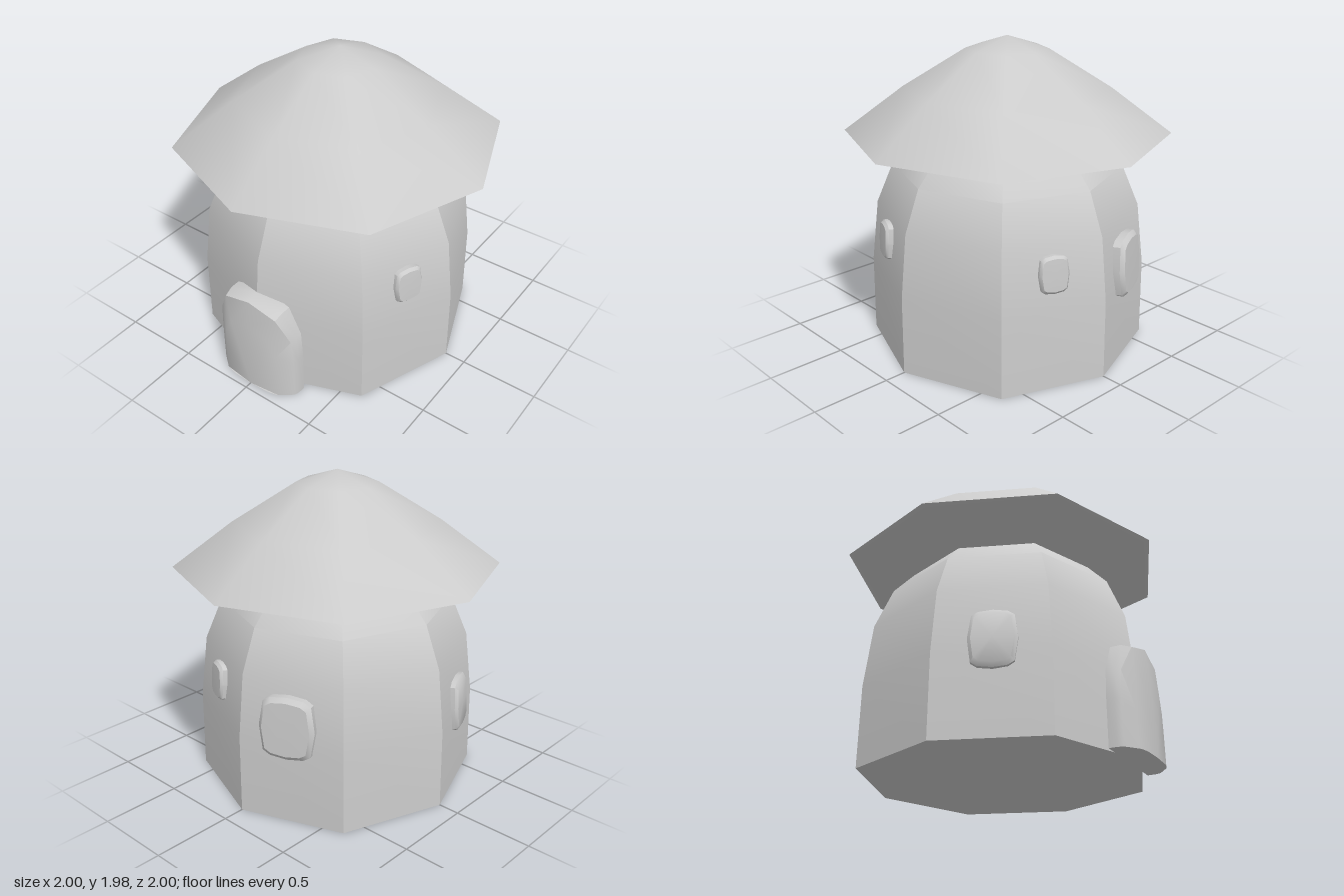
import * as THREE from 'three';
import { toCreasedNormals } from 'three/addons/utils/BufferGeometryUtils.js';

const material = new THREE.MeshStandardMaterial({ color: 0xcccccc });
const CREASE = 0.65;

function part(name, geometry) {
  const mesh = new THREE.Mesh(toCreasedNormals(geometry, CREASE), material);
  mesh.name = name;
  return mesh;
}

// Eight-sided turned shape whose diagonal corners are pushed out a little
function octagonLathe(profile, diagonal) {
  const g = new THREE.LatheGeometry(profile.map(([r, y]) => new THREE.Vector2(r, y)), 8);
  const p = g.attributes.position;
  for (let i = 0; i < p.count; i++) {
    const x = p.getX(i), z = p.getZ(i);
    if (Math.abs(x) > 1e-4 && Math.abs(z) > 1e-4) {
      p.setX(i, x * diagonal);
      p.setZ(i, z * diagonal);
    }
  }
  return g;
}

// Raised panel: a counter-clockwise outline lofted through [scale, depth(x, y)] rings
function panel(outline, rings, peak) {
  const n = outline.length, pos = [], index = [];
  for (const [s, depth] of rings)
    for (const [x, y] of outline) pos.push(x * s, y * s, depth(x * s, y * s));
  pos.push(0, 0, peak, 0, 0, rings[0][1](0, 0));
  const front = rings.length * n, last = front - n;
  for (let i = 0; i < n; i++) {
    const j = (i + 1) % n;
    for (let r = 0; r < last; r += n)
      index.push(r + i, r + j, r + n + j, r + i, r + n + j, r + n + i);
    index.push(last + i, last + j, front, j, i, front + 1);
  }
  const g = new THREE.BufferGeometry();
  g.setAttribute('position', new THREE.Float32BufferAttribute(pos, 3));
  g.setIndex(index);
  return g;
}

// Rounded window panel
function windowPanel(w, h, depth) {
  const outline = [[0.5, 0], [0.43, 0.4], [0.3, 0.47], [0, 0.5], [-0.3, 0.47], [-0.43, 0.4],
    [-0.5, 0], [-0.43, -0.4], [-0.3, -0.47], [0, -0.5], [0.3, -0.47], [0.43, -0.4]]
    .map(([x, y]) => [x * w, y * h]);
  return panel(outline, [
    [1, () => -0.08],
    [1, () => depth * 0.5],
    [0.86, () => depth],
  ], depth + 0.004);
}

export function createModel() {
  const model = new THREE.Group();
  model.name = 'hut';

  // Domed wall, closed underneath
  model.add(part('wall', octagonLathe([
    [0, 0], [0.865, 0], [0.86, 0.5], [0.815, 0.9], [0.71, 1.16], [0.59, 1.29], [0.44, 1.37], [0, 1.4],
  ], 1.028)));

  // Overhanging roof with a shallow underside
  model.add(part('roof', octagonLathe([
    [0, 1.335], [0.78, 1.335], [1, 1.375], [0.63, 1.66], [0.25, 1.9], [0, 1.98],
  ], 1.025)));

  // Arched door with a bowed face
  const side = [[0.2, 0], [0.297, 0], [0.297, 0.28], [0.285, 0.46], [0.2, 0.625]];
  const arch = [[0, 0], ...side, [0, 0.68], ...side.map(([x, y]) => [-x, y]).reverse()];
  const bow = (x, y) => 0.955 - 0.085 * (x / 0.285) ** 4 - 0.028 * (y / 0.62) ** 3;
  model.add(part('door', panel(arch, [
    [1, () => 0.785],
    [1, (x, y) => bow(x, y) - 0.02 - 0.05 * (y / 0.68) ** 4],
    [0.965, bow],
    [0.7, bow],
  ], 0.955)));

  // Windows: [x, y, z on the wall, width, height, depth]
  const windows = [
    [0.722, 0.755, 0.31, 0.19, 0.235, 0.035],
    [0.31, 0.735, -0.722, 0.19, 0.235, 0.035],
    [-0.3, 0.63, -0.745, 0.35, 0.39, 0.05],
    [-0.735, 0.56, 0.32, 0.28, 0.35, 0.035],
  ];
  windows.forEach(([x, y, z, w, h, depth], i) => {
    const mesh = part('window' + (i + 1), windowPanel(w, h, depth));
    mesh.position.set(x, y, z);
    // Face along the nearest wall side, leaning in slightly
    const sector = Math.floor(Math.atan2(x, z) / (Math.PI / 4));
    mesh.rotation.set(-0.06, (sector + 0.5) * Math.PI / 4, 0, 'YXZ');
    model.add(mesh);
  });

  return model;
}
